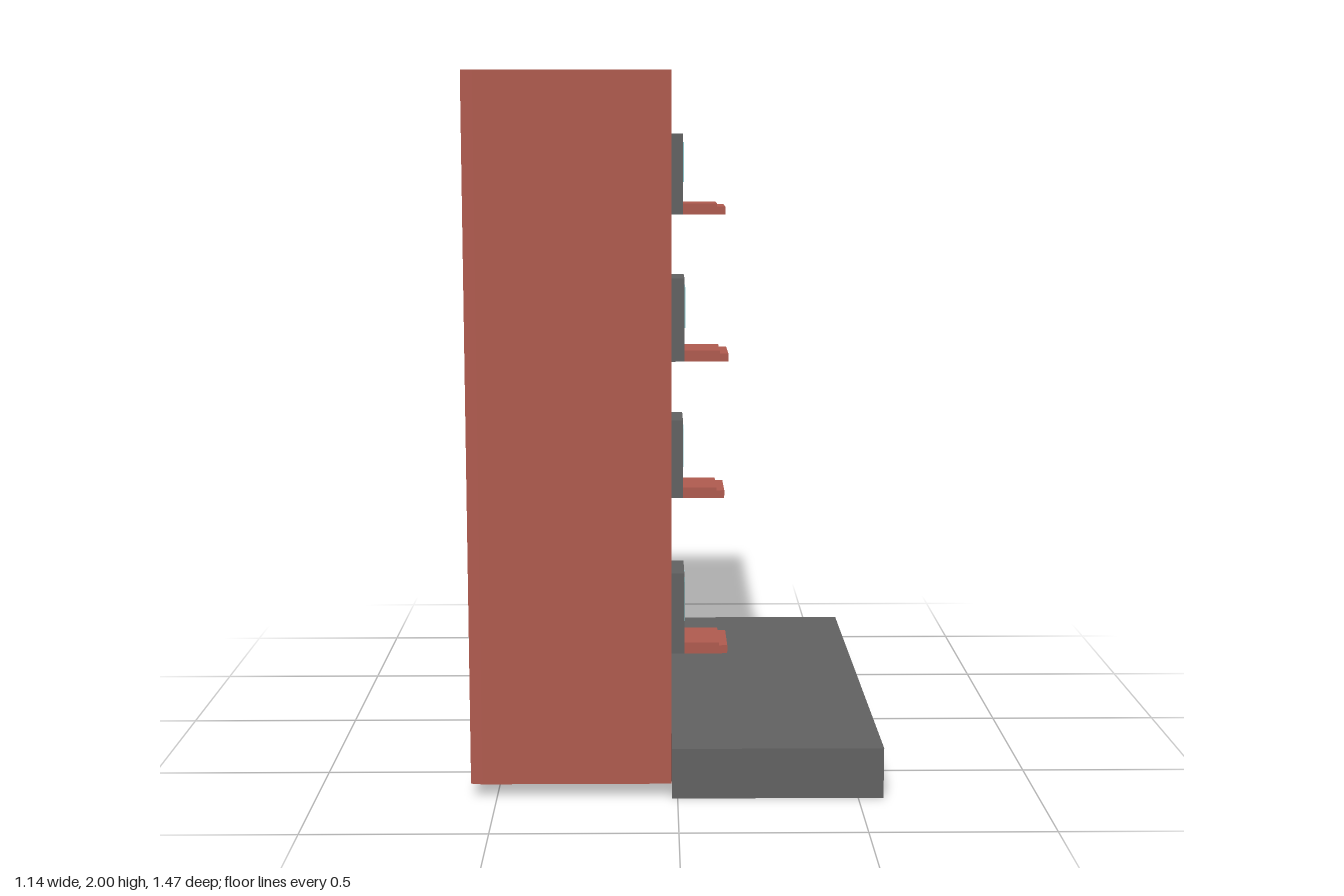
import * as THREE from 'three';

export function createModel() {
  const model = new THREE.Group();
  const mat = (name, color) => Object.assign(new THREE.MeshStandardMaterial({ color }), { name });
  const brick = mat('brick red', 0xb05b4f);
  const stone = mat('dark grey', 0x626262);
  const glass = mat('pale blue glass', 0x95d0d5);

  // Box given by its min and max corners
  function box(name, material, [x0, y0, z0], [x1, y1, z1], parent) {
    const mesh = new THREE.Mesh(new THREE.BoxGeometry(x1 - x0, y1 - y0, z1 - z0), material);
    mesh.position.set((x0 + x1) / 2, (y0 + y1) / 2, (z0 + z1) / 2);
    mesh.name = name;
    parent.add(mesh);
  }

  // Building block: plan with a slight bevel at one front corner, extruded upward
  const plan = new THREE.Shape([
    [-0.572, 0.725], [-0.54, 0.725], [-0.017, 0.725], [-0.017, -0.725], [-0.572, -0.725],
  ].map(([x, z], i) => new THREE.Vector2(x, i === 0 ? -z + 0.006 : -z)));
  const wallGeometry = new THREE.ExtrudeGeometry(plan, { depth: 1.95, bevelEnabled: false });
  wallGeometry.rotateX(-Math.PI / 2).translate(0, -0.975, 0);
  const wall = new THREE.Mesh(wallGeometry, brick);
  wall.name = 'buildingBlock';
  wall.position.set(0, 1.019, 0.002);
  wall.rotation.x = 0.0077; // leans slightly forward
  model.add(wall);

  // Pavement slab
  box('pavement', stone, [-0.015, 0, -0.732], [0.57, 0.142, 0.732], model);

  // Windows with frame, pane and stepped sill, staggered in two columns
  const half = 0.084;
  for (const [y, z] of [[0.382, 0.535], [0.772, 0.265], [1.203, 0.535], [1.593, 0.265]]) {
    const unit = new THREE.Group();
    unit.name = 'window';
    unit.position.set(0, y, z);
    box('frame', stone, [-0.02, 0, -half], [0.02, 0.228, half], unit);
    box('pane', glass, [0.017, 0.092, -half + 0.001], [0.022, 0.204, half - 0.001], unit);
    box('sill', brick, [0.02, 0, -half], [0.117, 0.031, half], unit);
    box('sillLip', brick, [0.117, 0, -half], [0.14, 0.023, half], unit);
    model.add(unit);
  }
  return model;
}
